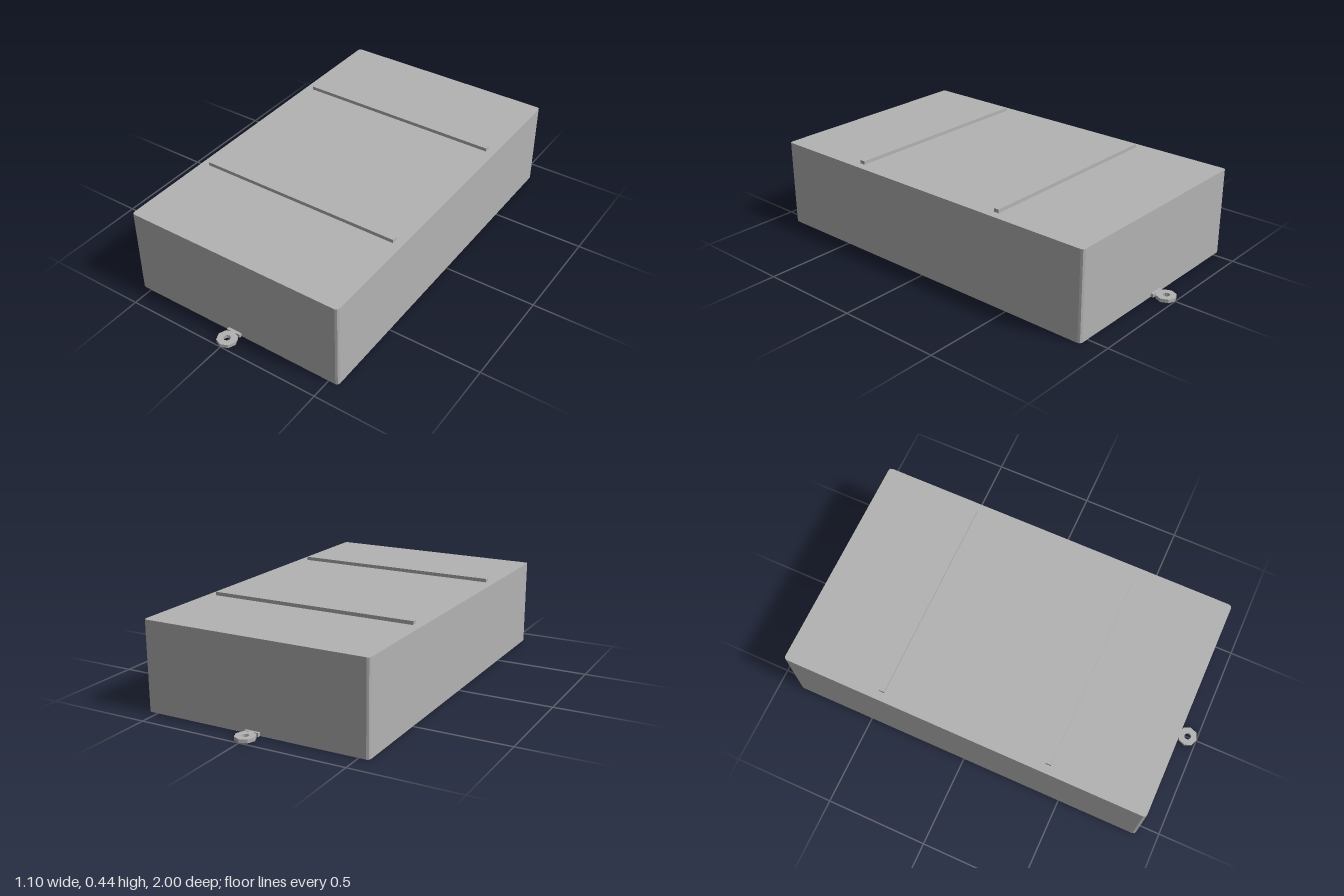
import * as THREE from 'three';

export function createModel() {
  const group = new THREE.Group();
  const grey = new THREE.MeshStandardMaterial({ color: 0xb3b3b3 });
  grey.name = 'grey';

  function add(name, geometry, x = 0, y = 0, z = 0) {
    const mesh = new THREE.Mesh(geometry, grey);
    mesh.name = name;
    mesh.position.set(x, y, z);
    group.add(mesh);
    return mesh;
  }

  // Extrude a plan shape upwards from the ground
  function upright(shape, height) {
    const g = new THREE.ExtrudeGeometry(shape, { depth: height, bevelEnabled: false });
    return g.rotateX(-Math.PI / 2);
  }

  // Case: a block with slightly cut vertical corners
  const w = 0.548, d = 0.897, height = 0.424, a = 0.014, b = 0.004;
  const plan = [];
  for (const [sx, sz] of [[1, 1], [-1, 1], [-1, -1], [1, -1]]) {
    const corner = [[w, d - a], [w - b, d - b], [w - a, d]];
    if (sx * sz < 0) corner.reverse();
    corner.forEach(([x, z]) => plan.push(new THREE.Vector2(sx * x, sz * z)));
  }
  add('case', upright(new THREE.Shape(plan), height));

  // Eight-sided ring with a round hole, for the mounting eyes
  const eye = new THREE.Shape();
  const hole = new THREE.Path();
  for (let i = 0; i < 8; i++) {
    const t = (i / 8) * Math.PI * 2;
    const c = Math.cos(t), s = Math.sin(t);
    if (i === 0) {
      eye.moveTo(0.047 * c, 0.047 * s);
      hole.moveTo(0.017 * c, 0.017 * s);
    } else {
      eye.lineTo(0.047 * c, 0.047 * s);
      hole.lineTo(0.017 * c, 0.017 * s);
    }
  }
  eye.closePath();
  hole.closePath();
  eye.holes.push(hole);

  for (const [side, end] of [[1, 'front'], [-1, 'back']]) {
    // Raised rib across the lid
    add(end + 'Rib', new THREE.BoxGeometry(1.014, 0.018, 0.026), 0, height + 0.008, side * 0.413);
    // Mounting eye and the short tab joining it to the case
    add(end + 'MountingEye', upright(eye, 0.017), 0, 0, side * 0.953);
    add(end + 'MountingTab', new THREE.BoxGeometry(0.07, 0.017, 0.016), 0, 0.0085, side * 0.902);
  }
  return group;
}
